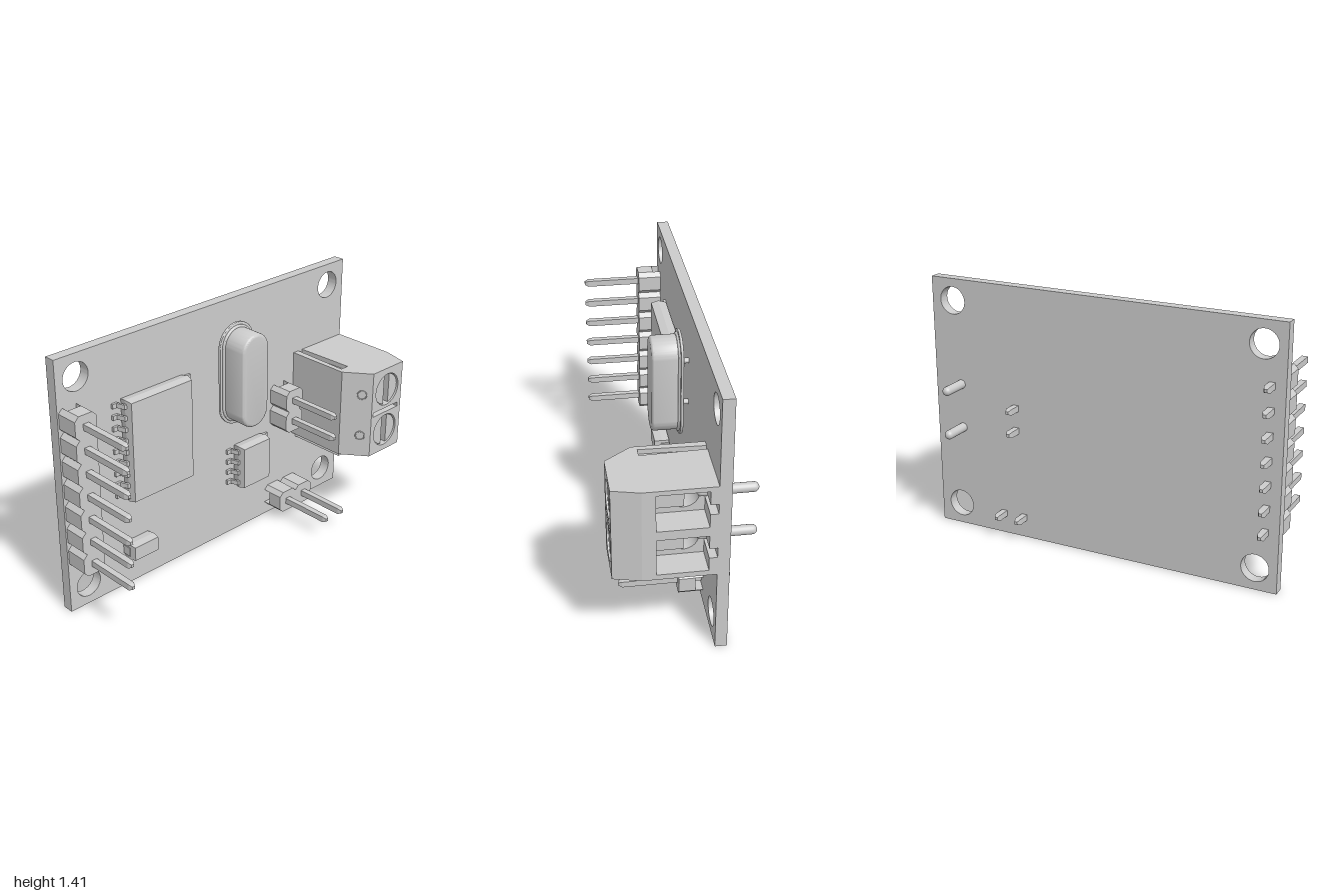
import * as THREE from 'three';
import { toCreasedNormals } from 'three/addons/utils/BufferGeometryUtils.js';

const mat = new THREE.MeshStandardMaterial({ color: 0xcccccc });
const FACE = -0.14; // z of the board's front face

function add(parent, name, geo, x = 0, y = 0, z = 0) {
  const mesh = new THREE.Mesh(geo, mat);
  mesh.name = name;
  mesh.position.set(x, y, z);
  parent.add(mesh);
  return mesh;
}
function group(parent, name, x = 0, y = 0, z = 0) {
  const g = new THREE.Group();
  g.name = name;
  g.position.set(x, y, z);
  parent.add(g);
  return g;
}
const poly = pts => new THREE.Shape(pts.map(p => new THREE.Vector2(p[0], p[1])));
const rect = (x0, y0, x1, y1) => poly([[x0, y0], [x1, y0], [x1, y1], [x0, y1]]);
const circle = (x, y, r) => new THREE.Shape().absarc(x, y, r, 0, Math.PI * 2);

// Extrude an outline drawn in x, y from z0 to z1
function extrudeZ(shape, z0, z1) {
  const g = new THREE.ExtrudeGeometry(shape, { depth: z1 - z0, bevelEnabled: false, curveSegments: 24 });
  return toCreasedNormals(g.translate(0, 0, z0), 0.5);
}
// Extrude an outline given as [x, z] points from y0 to y1
function extrudeY(pts, y0, y1) {
  const g = new THREE.ExtrudeGeometry(poly(pts.map(([x, z]) => [x, -z])), { depth: y1 - y0, bevelEnabled: false });
  return g.rotateX(-Math.PI / 2).translate(0, y0, 0);
}
// Box whose front and back faces are smaller than its waist
function moulded(w, h, d, inset) {
  const g = new THREE.BoxGeometry(w, h, d, 1, 1, 2).toNonIndexed();
  const p = g.attributes.position;
  for (let i = 0; i < p.count; i++) {
    if (Math.abs(p.getZ(i)) < d * 0.25) continue;
    p.setX(i, p.getX(i) - Math.sign(p.getX(i)) * inset);
    p.setY(i, p.getY(i) - Math.sign(p.getY(i)) * inset);
  }
  g.computeVertexNormals();
  return g;
}
// Square pin with tapered ends
function pinGeometry() {
  const g = new THREE.BoxGeometry(0.033, 0.033, 0.58, 1, 1, 3).toNonIndexed();
  const p = g.attributes.position;
  for (let i = 0; i < p.count; i++) {
    const z = p.getZ(i);
    if (Math.abs(z) > 0.2) {
      p.setX(i, p.getX(i) * 0.5);
      p.setY(i, p.getY(i) * 0.5);
    } else p.setZ(i, Math.sign(z) * 0.27);
  }
  g.computeVertexNormals();
  return g;
}

// Row of pins in octagonal collars, with a channel under the row
function pinHeader(parent, name, x, y, count, vertical) {
  const h = group(parent, name, x, y);
  const a = 0.0635, b = 0.04;
  const collar = extrudeZ(poly([[a, -b], [a, b], [b, a], [-b, a], [-a, b], [-a, -b], [-b, -a], [b, -a]]), -0.1, -0.015);
  const foot = extrudeZ(poly([[b, -a], [a, -b], [a, b], [b, a]]), FACE, -0.1);
  const pin = pinGeometry();
  for (let i = 0; i < count; i++) {
    const cell = group(h, 'headerCell', vertical ? 0 : i * 0.127, vertical ? i * 0.127 : 0);
    if (!vertical) cell.rotation.z = Math.PI / 2;
    add(cell, 'collar', collar);
    add(cell, 'foot', foot);
    add(cell, 'foot', foot).rotation.z = Math.PI;
    add(cell, 'pin', pin);
  }
}

// Chip with bent legs along both sides
function chip(parent, name, x, y, w, h, legs) {
  const c = group(parent, name, x, y);
  add(c, 'chipBody', moulded(w + 0.016, h + 0.012, 0.083, 0.008), 0, 0, -0.0935);
  const leg = extrudeY([[-0.02, -0.082], [0.02, -0.082], [0.034, -0.126], [0.058, -0.126],
    [0.058, FACE], [0.026, FACE], [0.012, -0.096], [-0.02, -0.096]], -0.0125, 0.0125);
  for (let i = 0; i < legs; i++) {
    const ly = (i - (legs - 1) / 2) * 0.0635;
    add(c, 'leg', leg, w / 2, ly);
    const left = group(c, 'legMirrored', -w / 2, ly, -0.111 * 2 + 0.222);
    left.scale.x = -1;
    add(left, 'leg', leg);
  }
}

function stadium(w, h) {
  const r = w / 2, s = h / 2 - r;
  const sh = new THREE.Shape();
  sh.absarc(0, s, r, 0, Math.PI);
  sh.absarc(0, -s, r, Math.PI, Math.PI * 2);
  sh.closePath();
  return sh;
}

// Metal can with a rounded front and a flared rim
function crystal(parent) {
  const c = group(parent, 'crystalCan', 0.122, 1.005);
  const rounded = (w, h, z0, z1, b) => toCreasedNormals(new THREE.ExtrudeGeometry(stadium(w - 2 * b, h - 2 * b), {
    depth: z1 - z0 - 2 * b, bevelThickness: b, bevelSize: b, bevelSegments: 4, curveSegments: 20,
  }).translate(0, 0, z0 + b), 0.6);
  add(c, 'can', rounded(0.19, 0.53, -0.095, 0.06, 0.018));
  add(c, 'flare', rounded(0.212, 0.552, -0.092, -0.072, 0.009));
  add(c, 'rim', rounded(0.243, 0.582, -0.098, -0.083, 0.004));
  for (const s of [-1, 1])
    add(c, 'lead', new THREE.CylinderGeometry(0.014, 0.014, 0.05, 12).rotateX(Math.PI / 2), 0, s * 0.12, -0.12);
}

// Two-way screw terminal, stacked from slices so its wire openings are hollow
function terminal(parent) {
  const t = group(parent, 'screwTerminal');
  const front = [[1, 0.217], [0.965, 0.356], [0.965, 0.31], [0.72, 0.31], [0.72, 0.356], [0.617, 0.22]];
  const pocket = [[0.72, -0.1], [0.72, 0.15], [1, 0.15]];
  const solid = [[0.617, FACE], [1, FACE], ...front];
  const hollow = [[0.617, FACE], [1, FACE], [1, -0.1], ...pocket, ...front];
  const slotted = [[0.617, FACE], [0.82, FACE], [0.82, -0.1], ...pocket, ...front];
  const grooved = [[0.617, FACE], [0.655, FACE], [0.645, 0.19], [0.695, 0.19], [0.685, FACE], [1, FACE], ...front];
  const slices = [[solid, 0.452, 0.48], [solid, 0.68, 0.73], [grooved, 0.93, 0.955]];
  for (const y of [0.58, 0.83])
    slices.push([hollow, y - 0.1, y - 0.027], [slotted, y - 0.027, y + 0.027], [hollow, y + 0.027, y + 0.1]);
  for (const [pts, y0, y1] of slices) add(t, 'housing', extrudeY(pts, y0, y1));

  // Front plate with screw wells and a dividing slit
  const plate = rect(0.72, 0.452, 0.965, 0.955);
  plate.holes.push(circle(0.842, 0.578, 0.093), circle(0.842, 0.826, 0.093), rect(0.735, 0.69, 0.94, 0.715));
  add(t, 'frontPlate', extrudeZ(plate, 0.31, 0.356));

  // Joining rib under the block
  add(t, 'rib', extrudeZ(poly([[0.655, 0.453], [0.645, 0.42], [0.695, 0.42], [0.685, 0.453]]), FACE, 0.195));

  // Screw head halves either side of a slot
  const a = Math.asin(0.02 / 0.088);
  const half = new THREE.Shape().absarc(0, 0, 0.088, -Math.PI / 2 + a, Math.PI / 2 - a);
  const halfGeo = extrudeZ(half, 0.3, 0.348);
  // Metal clamp with a round bore, facing the wire opening
  const clamp = rect(-0.15, -0.1, 0.1, 0.1);
  clamp.holes.push(circle(0, 0, 0.075));
  const clampGeo = extrudeZ(clamp, 0, 0.13).rotateY(Math.PI / 2);
  for (const y of [0.578, 0.826]) {
    const s = group(t, 'screw', 0.842, y);
    add(s, 'screwHalf', halfGeo);
    add(s, 'screwHalf', halfGeo).rotation.z = Math.PI;
    add(t, 'clamp', clampGeo, 0.725, y + 0.003);
    add(t, 'clampPlate', new THREE.BoxGeometry(0.04, 0.105, 0.148), 0.86, y + 0.003, 0.076);
    add(t, 'solderPin', new THREE.CapsuleGeometry(0.025, 0.25, 6, 20).rotateX(Math.PI / 2), 0.842, y + 0.002, -0.21);
    // Small test hole rim on the sloping face
    const rim = add(t, 'testHole', new THREE.TorusGeometry(0.025, 0.003, 8, 24), 0.685, y, 0.31);
    rim.rotation.y = -Math.atan2(0.136, 0.103);
  }
}

export function createModel() {
  const model = new THREE.Group();
  model.name = 'circuitModule';

  // Board with corner holes
  const board = rect(-1, 0, 1, 1.41);
  for (const x of [-0.88, 0.875]) for (const y of [0.12, 1.29]) board.holes.push(circle(x, y, 0.075));
  add(model, 'board', extrudeZ(board, -0.2, FACE));

  pinHeader(model, 'sideHeader', -0.928, 0.329, 7, true);
  pinHeader(model, 'jumperHeader', 0.5, 0.618, 2, true);
  pinHeader(model, 'bottomHeader', 0.465, 0.117, 2, false);
  chip(model, 'largeChip', -0.424, 0.812, 0.396, 0.56, 9);
  chip(model, 'smallChip', 0.249, 0.426, 0.195, 0.244, 4);
  crystal(model);
  terminal(model);

  // Small component with metal end tabs
  const d = group(model, 'smallComponent', -0.56, 0.226);
  add(d, 'componentBody', moulded(0.166, 0.088, 0.085, 0.005), 0, 0, -0.0935);
  for (const s of [-1, 1]) add(d, 'endTab', new THREE.BoxGeometry(0.008, 0.05, 0.05), s * 0.082, 0, -0.112);
  return model;
}
